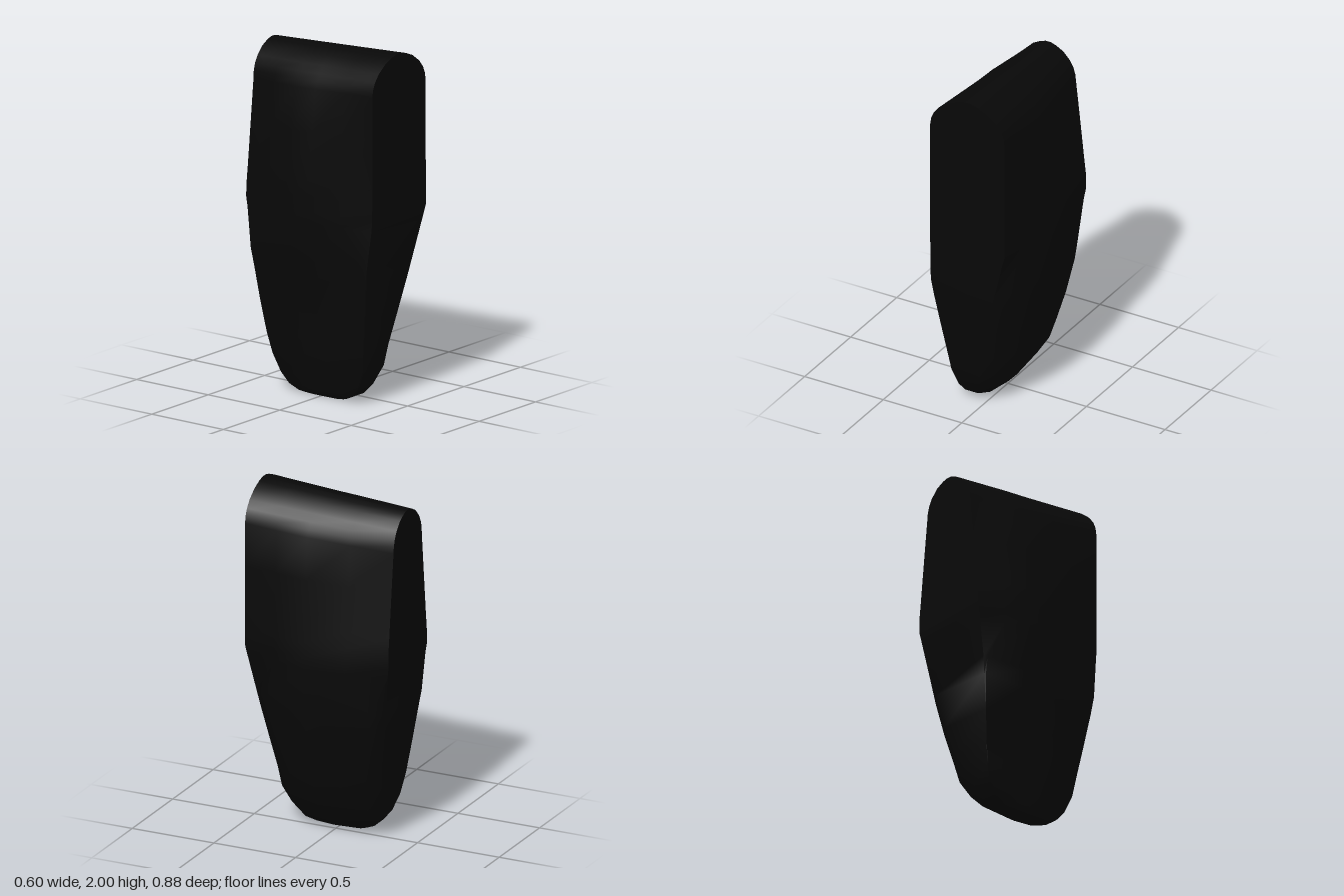
import * as THREE from 'three';
import { toCreasedNormals } from 'three/addons/utils/BufferGeometryUtils.js';

// Horizontal sections, bottom to top: y, side bulge x (min, max),
// front corner x (min, max), back corner x (min, max), front z, back z
const SECTIONS = [
  [0.00, -0.13, -0.06, -0.12, -0.08, -0.12, -0.07, 0.12, -0.10],
  [0.01, -0.145, -0.02, -0.13, -0.07, -0.13, -0.06, 0.17, -0.16],
  [0.04, -0.152, 0.025, -0.135, -0.05, -0.14, -0.03, 0.235, -0.22],
  [0.10, -0.16, 0.08, -0.145, -0.03, -0.15, 0.01, 0.285, -0.27],
  [0.20, -0.177, 0.145, -0.165, 0.01, -0.17, 0.06, 0.325, -0.31],
  [0.32, -0.19, 0.195, -0.185, 0.033, -0.19, 0.08, 0.34, -0.335],
  [0.50, -0.215, 0.24, -0.208, 0.075, -0.215, 0.13, 0.37, -0.36],
  [0.70, -0.243, 0.272, -0.235, 0.125, -0.232, 0.17, 0.40, -0.39],
  [0.80, -0.260, 0.280, -0.250, 0.155, -0.243, 0.19, 0.41, -0.405],
  [1.03, -0.30, 0.298, -0.238, 0.22, -0.24, 0.232, 0.435, -0.43],
  [1.09, -0.30, 0.292, -0.238, 0.238, -0.24, 0.24, 0.44, -0.44],
  [1.18, -0.30, 0.284, -0.237, 0.238, -0.235, 0.24, 0.44, -0.44],
  [1.28, -0.30, 0.275, -0.237, 0.237, -0.224, 0.229, 0.44, -0.44],
  [1.55, -0.266, 0.253, -0.237, 0.236, -0.198, 0.202, 0.44, -0.44],
  [1.80, -0.234, 0.233, -0.236, 0.235, -0.174, 0.176, 0.44, -0.44],
];

// Rounded top: y, half width at the front, middle and back
const DOME = [
  [1.84, 0.23, 0.215, 0.172], [1.88, 0.212, 0.195, 0.160], [1.92, 0.18, 0.163, 0.138],
  [1.965, 0.12, 0.108, 0.095], [1.99, 0.06, 0.054, 0.048], [2, 0.02, 0.018, 0.016],
];
for (const [y, f, m, b] of DOME) SECTIONS.push([y, -m, m, -f, f, -b, b, 0.44, -0.44]);

// Closed outline of one section; corners turn into rounded chamfers lower down
function ring([y, xMin, xMax, fMin, fMax, bMin, bMax, zF, zB]) {
  const { clamp, lerp } = THREE.MathUtils;
  const s = zF / 0.44;
  const round = clamp((1.03 - y) / 0.25, 0, 1);
  const mid = (c, x, zc, zx) => {
    const chamferZ = zc - Math.sign(zc) * Math.abs(x - c) * 0.65;
    return [c + (x - c) * lerp(0.5, 0.65, round), lerp((zc + zx) / 2, chamferZ, round)];
  };
  const zr = 0.06 * s, zl = 0.04 * s, zl2 = -0.11 * s;
  const outline = [
    [fMax, zF], mid(fMax, xMax, zF, zr), [xMax, zr], mid(bMax, xMax, zB, zr), [bMax, zB],
    [bMin, zB], mid(bMin, xMin, zB, zl2), [xMin, zl2], [xMin, zl], mid(fMin, xMin, zF, zl), [fMin, zF],
  ];
  // The top slopes down gently towards the back
  const slope = 0.05 * clamp((y - 1.1) / 0.7, 0, 1);
  return outline.map(([x, z]) => [x, y - slope * (0.44 - z) / 0.88, z]);
}

// Skin the rings and close both ends
function loft(rings) {
  const n = rings[0].length, last = rings.length - 1;
  const pos = rings.flat(2), index = [];
  for (let r = 0; r < last; r++) {
    for (let i = 0; i < n; i++) {
      const j = (i + 1) % n, a = r * n + i, b = r * n + j;
      index.push(a, b, b + n, a, b + n, a + n);
    }
  }
  for (let i = 1; i < n - 1; i++) {
    index.push(0, i + 1, i);
    index.push(last * n, last * n + i, last * n + i + 1);
  }
  const g = new THREE.BufferGeometry();
  g.setAttribute('position', new THREE.Float32BufferAttribute(pos, 3));
  g.setIndex(index);
  return toCreasedNormals(g, 0.9);
}

export function createModel() {
  const group = new THREE.Group();
  const body = new THREE.Mesh(
    loft(SECTIONS.map(ring)),
    new THREE.MeshStandardMaterial({ color: 0x080808 })
  );
  body.name = 'taperedBody';
  group.add(body);
  return group;
}
